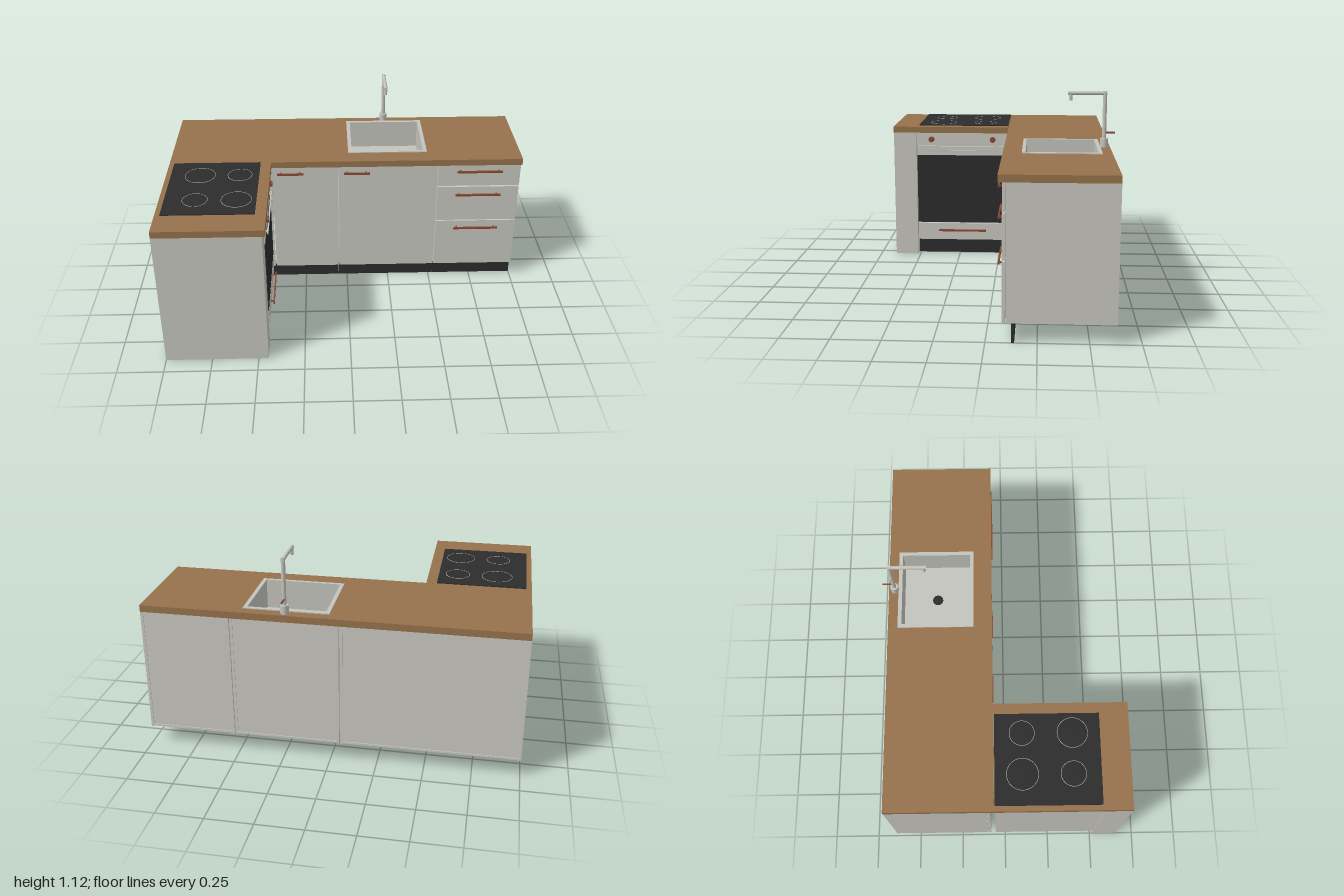
import * as THREE from 'three';

const mat = (name, color, side = THREE.FrontSide) => {
  const m = new THREE.MeshStandardMaterial({ color, side });
  m.name = name;
  return m;
};

export function createModel() {
  const kitchen = new THREE.Group();
  kitchen.name = 'cornerKitchen';
  const front = mat('cabinet grey', 0xc9c8c0);
  const wood = mat('worktop wood', 0x97724c);
  const dark = mat('charcoal', 0x2c2c2c);
  const copper = mat('copper brown', 0x8c4a34);
  const steel = mat('steel', 0xc4c4bd);
  const ringMat = mat('burner ring', 0xb8b8b4);

  const add = (name, geo, material, x = 0, y = 0, z = 0, parent = kitchen) => {
    const mesh = new THREE.Mesh(geo, material);
    mesh.name = name;
    mesh.position.set(x, y, z);
    parent.add(mesh);
    return mesh;
  };
  // Box given by its lower and upper limits on each axis
  const box = (name, material, x0, x1, y0, y1, z0, z1, parent) =>
    add(name, new THREE.BoxGeometry(x1 - x0, y1 - y0, z1 - z0), material,
      (x0 + x1) / 2, (y0 + y1) / 2, (z0 + z1) / 2, parent);
  const group = (name) => {
    const g = new THREE.Group();
    g.name = name;
    kitchen.add(g);
    return g;
  };

  const BASE = 0.098, TOP = 0.783, DECK = 0.82;
  const BACK = -0.63, BODY = -0.098, DOOR = -0.08, T = 0.015;

  // Hollow carcasses of the back run, with a slightly inset back panel
  for (const [x0, x1] of [[-1, -0.052], [-0.048, 0.521], [0.525, 1]]) {
    const c = group('baseCabinet');
    box('leftSide', front, x0, x0 + T, BASE, TOP, BACK, BODY, c);
    box('rightSide', front, x1 - T, x1, BASE, TOP, BACK, BODY, c);
    box('floor', front, x0 + T, x1 - T, BASE + 0.004, BASE + T, BACK, BODY, c);
    box('backPanel', front, x0 + T, x1 - T, BASE + T, TOP, BACK + 0.004, BACK + 0.01, c);
  }

  // Doors, drawer fronts and the hidden corner filler
  const fronts = [
    ['cornerFiller', -1, -0.434, BASE, TOP], ['cornerDoor', -0.428, -0.053, BASE, 0.78],
    ['sinkDoor', -0.047, 0.52, BASE, 0.78], ['lowerDrawer', 0.526, 0.997, BASE, 0.402],
    ['middleDrawer', 0.526, 0.997, 0.408, 0.632], ['upperDrawer', 0.526, 0.997, 0.64, 0.78],
  ];
  for (const [name, x0, x1, y0, y1] of fronts) box(name, front, x0, x1, y0, y1, BODY + 0.003, DOOR);

  // Bar handle built along x, facing +z from its mounting face
  const handle = (name, length) => {
    const g = group(name);
    box('bar', copper, -length / 2, length / 2, -0.006, 0.006, 0.016, 0.024, g);
    for (const s of [-1, 1]) {
      const x = s * (length / 2 - 0.02);
      box('post', copper, x - 0.004, x + 0.004, -0.004, 0.004, 0, 0.017, g);
    }
    return g;
  };
  for (const [x, y, len] of [[-0.325, 0.74, 0.15], [0.055, 0.74, 0.15],
    [0.76, 0.74, 0.26], [0.76, 0.588, 0.26], [0.76, 0.362, 0.26]]) {
    handle('frontHandle', len).position.set(x, y, DOOR);
  }

  // Plinth boards
  for (const [x0, x1] of [[-0.45, -0.051], [-0.049, 0.522], [0.524, 1]]) {
    box('plinth', dark, x0, x1, 0, BASE, -0.14, -0.125);
  }

  // Worktop with a cut-out for the sink
  const sx0 = 0.025, sx1 = 0.445, sz0 = -0.56, sz1 = -0.175;
  box('worktopCorner', wood, -1, sx0 - 0.001, TOP, DECK, BACK, -0.06);
  box('worktopEnd', wood, sx1 + 0.001, 1, TOP, DECK, BACK, -0.06);
  box('worktopBehindSink', wood, sx0, sx1, TOP, DECK, BACK, sz0);
  box('worktopBeforeSink', wood, sx0, sx1, TOP, DECK, sz1, -0.06);
  box('worktopOven', wood, -1, -0.43, TOP, DECK, -0.058, 0.655);

  // Sink: rim frame, bowl walls, floor and drain
  const sink = group('sink');
  const rim = new THREE.Shape([[0.008, 0.16], [0.462, 0.16], [0.462, 0.577], [0.008, 0.577]]
    .map(([x, y]) => new THREE.Vector2(x, y)));
  rim.holes.push(new THREE.Path([[0.029, 0.179], [0.029, 0.556], [0.441, 0.556], [0.441, 0.179]]
    .map(([x, y]) => new THREE.Vector2(x, y))));
  const rimGeo = new THREE.ExtrudeGeometry(rim, { depth: 0.005, bevelEnabled: false });
  add('sinkRim', rimGeo.rotateX(-Math.PI / 2), steel, 0, DECK, 0, sink);
  const floorY = 0.66;
  box('bowlLeft', steel, sx0, sx0 + 0.004, floorY, DECK, sz0, sz1, sink);
  box('bowlRight', steel, sx1 - 0.004, sx1, floorY, DECK, sz0, sz1, sink);
  box('bowlBack', steel, sx0, sx1, floorY, DECK, sz0, sz0 + 0.004, sink);
  box('bowlFront', steel, sx0, sx1, floorY, DECK, sz1 - 0.004, sz1, sink);
  box('bowlFloor', steel, sx0, sx1, floorY - 0.005, floorY, sz0, sz1, sink);
  add('drain', new THREE.CylinderGeometry(0.029, 0.029, 0.004, 32), dark, 0.235, floorY + 0.002, -0.368, sink);

  // Tap: base, upright, arm, spout and lever
  const tap = group('tap');
  const fx = 0.235, fz = -0.597;
  const rod = (name, r, len, material, y, z, flat) => {
    const g = new THREE.CylinderGeometry(r, r, len, 24);
    if (flat) g.rotateX(Math.PI / 2);
    return add(name, g, material, fx, y, z, tap);
  };
  rod('tapBase', 0.022, 0.047, steel, 0.8435, fz);
  rod('tapUpright', 0.011, 0.255, steel, 0.9925, fz);
  rod('tapArm', 0.01, 0.207, steel, 1.11, -0.5045, true);
  rod('tapSpout', 0.009, 0.04, steel, 1.09, -0.415);
  rod('tapLever', 0.005, 0.055, copper, 0.898, -0.6275, true);

  // Oven housing, open at the back of the plinth
  box('ovenBody', front, -1, -0.46, BASE, TOP, -0.055, 0.512);
  box('endPanel', front, -1, -0.446, 0, TOP, 0.515, 0.655);
  box('ovenPlinth', dark, -0.51, -0.495, 0, BASE, -0.055, 0.512);

  // Oven front, facing +x
  const ovenFront = (name, material, y0, y1, x1 = -0.443) =>
    box(name, material, -0.46, x1, y0, y1, -0.055, 0.51);
  ovenFront('ovenDrawer', front, BASE, 0.204);
  ovenFront('ovenGlass', dark, 0.21, 0.64);
  ovenFront('ovenDoorTop', front, 0.641, 0.697);
  ovenFront('controlPanel', front, 0.703, TOP);
  box('ovenHandle', steel, -0.436, -0.428, 0.662, 0.675, 0.01, 0.445);
  for (const z of [0.03, 0.425]) {
    box('ovenHandlePost', steel, -0.443, -0.436, 0.664, 0.673, z - 0.005, z + 0.005);
  }
  for (const z of [0.04, 0.42]) {
    const knob = new THREE.CylinderGeometry(0.016, 0.018, 0.02, 24).rotateZ(-Math.PI / 2);
    add('ovenKnob', knob, copper, -0.433, 0.74, z);
  }
  const drawerHandle = handle('ovenDrawerHandle', 0.3);
  drawerHandle.position.set(-0.443, 0.162, 0.23);
  drawerHandle.rotation.y = Math.PI / 2;

  // Hob with shallow domed burners and thin rings
  box('hob', dark, -0.972, -0.488, DECK, 0.825, -0.055, 0.5);
  for (const [x, z, r] of [[-0.81, 0.09, 0.083], [-0.593, 0.09, 0.066],
    [-0.81, 0.355, 0.066], [-0.593, 0.355, 0.08]]) {
    const dome = new THREE.SphereGeometry(r, 40, 8, 0, Math.PI * 2, 0, Math.PI / 2).scale(1, 0.003 / r, 1);
    add('burner', dome, dark, x, 0.825, z);
    add('burnerRing', new THREE.TorusGeometry(r, 0.0015, 6, 48).rotateX(Math.PI / 2), ringMat, x, 0.825, z);
  }

  return kitchen;
}
